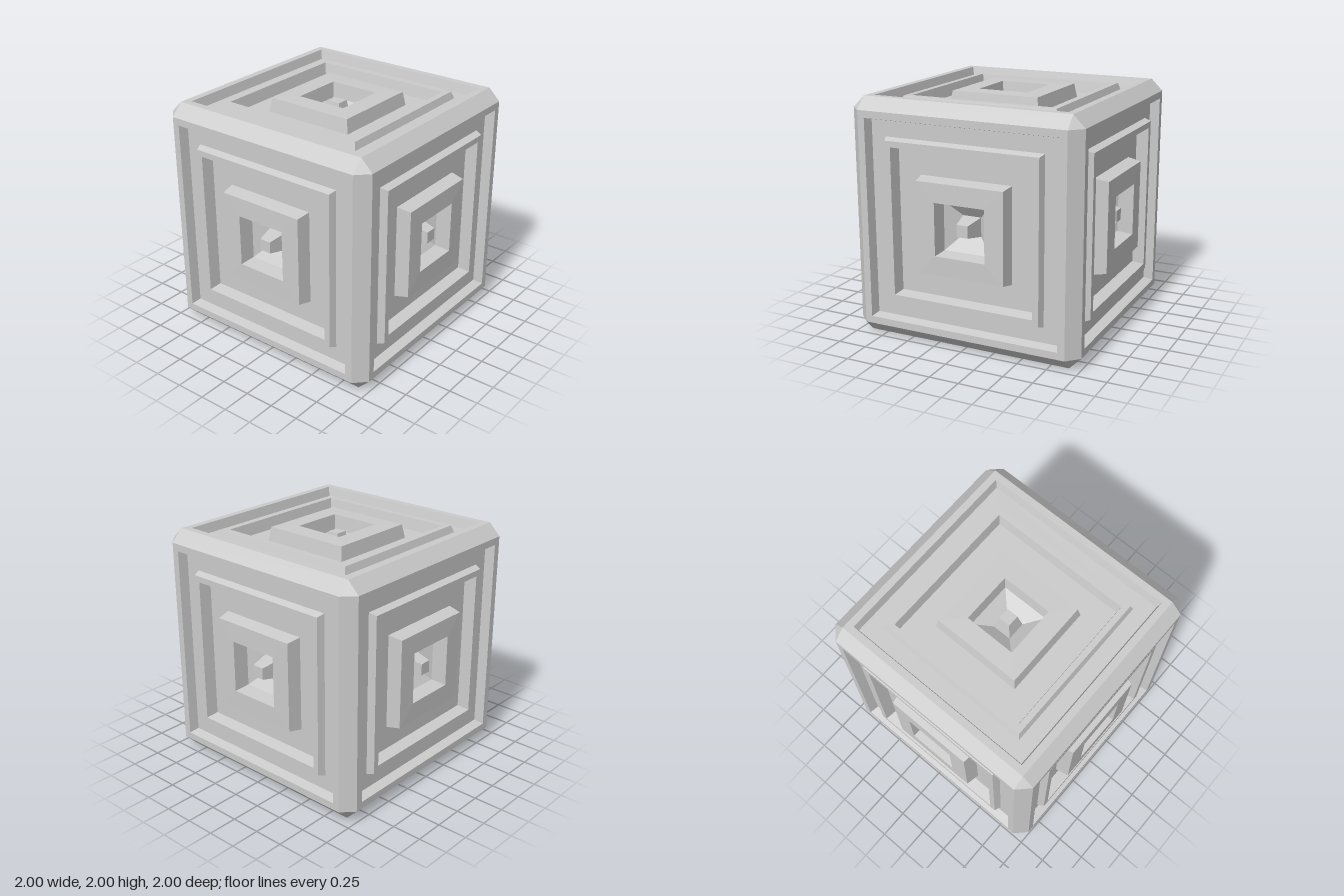
import * as THREE from 'three';

const material = new THREE.MeshStandardMaterial({ color: 0xcccccc, flatShading: true });
const Q = Math.PI / 2;

// Square stepped surface from [half width, height] pairs, running from the outside in
function steps(profile) {
  const points = profile.map(([half, y]) => new THREE.Vector2(half * Math.SQRT2, y));
  const geometry = new THREE.LatheGeometry(points, 4, Math.PI / 4).toNonIndexed();
  geometry.computeVertexNormals();
  return geometry;
}

// Each part starts where the one outside it ends
const panelParts = {
  rim: steps([[0.9, 1], [0.84, 1], [0.82, 0.92], [0.69, 0.92]]),
  raisedFrame: steps([[0.69, 0.92], [0.67, 0.98], [0.62, 0.98], [0.6, 0.88], [0.4, 0.88]]),
  centreBlock: steps([[0.4, 0.88], [0.38, 0.997], [0.22, 1]]),
  socket: steps([[0.22, 1], [0.205, 0.87], [0.08, 0.78]]),
  peg: steps([[0.08, 0.78], [0.05, 0.95], [0, 0.95]]),
};

function addMesh(parent, geometry, name) {
  const mesh = new THREE.Mesh(geometry, material);
  mesh.name = name;
  parent.add(mesh);
  return mesh;
}

export function createModel() {
  const cube = new THREE.Group();
  cube.name = 'steppedCube';
  cube.position.y = 1;

  // Six identical panels
  const sides = {
    top: [0, 0], bottom: [2 * Q, 0], front: [Q, 0],
    back: [-Q, 0], left: [0, -Q], right: [0, Q],
  };
  for (const [side, [rx, rz]] of Object.entries(sides)) {
    const panel = new THREE.Group();
    panel.name = side + 'Panel';
    panel.rotation.set(rx, 0, rz);
    for (const [name, geometry] of Object.entries(panelParts)) addMesh(panel, geometry, name);
    cube.add(panel);
  }

  // Twelve chamfered edges: four around each axis
  const edge = new THREE.PlaneGeometry(1.8, 0.1 * Math.SQRT2);
  edge.rotateX(-Math.PI / 4).translate(0, 0.95, 0.95);
  for (const [ry, rz] of [[0, 0], [Q, 0], [0, Q]]) {
    const ring = new THREE.Group();
    ring.name = 'edgeRing';
    ring.rotation.set(0, ry, rz);
    for (let k = 0; k < 4; k++) addMesh(ring, edge, 'chamferedEdge').rotation.x = k * Q;
    cube.add(ring);
  }

  // Eight triangular corners: four above, four below
  const corner = new THREE.BufferGeometry();
  corner.setAttribute('position', new THREE.Float32BufferAttribute(
    [1, 0.9, 0.9, 0.9, 1, 0.9, 0.9, 0.9, 1], 3));
  corner.computeVertexNormals();
  for (const flip of [0, Math.PI]) {
    const corners = new THREE.Group();
    corners.name = flip ? 'bottomCorners' : 'topCorners';
    corners.rotation.x = flip;
    for (let k = 0; k < 4; k++) addMesh(corners, corner, 'corner').rotation.y = k * Q;
    cube.add(corners);
  }

  const model = new THREE.Group();
  model.name = 'model';
  model.add(cube);
  return model;
}
